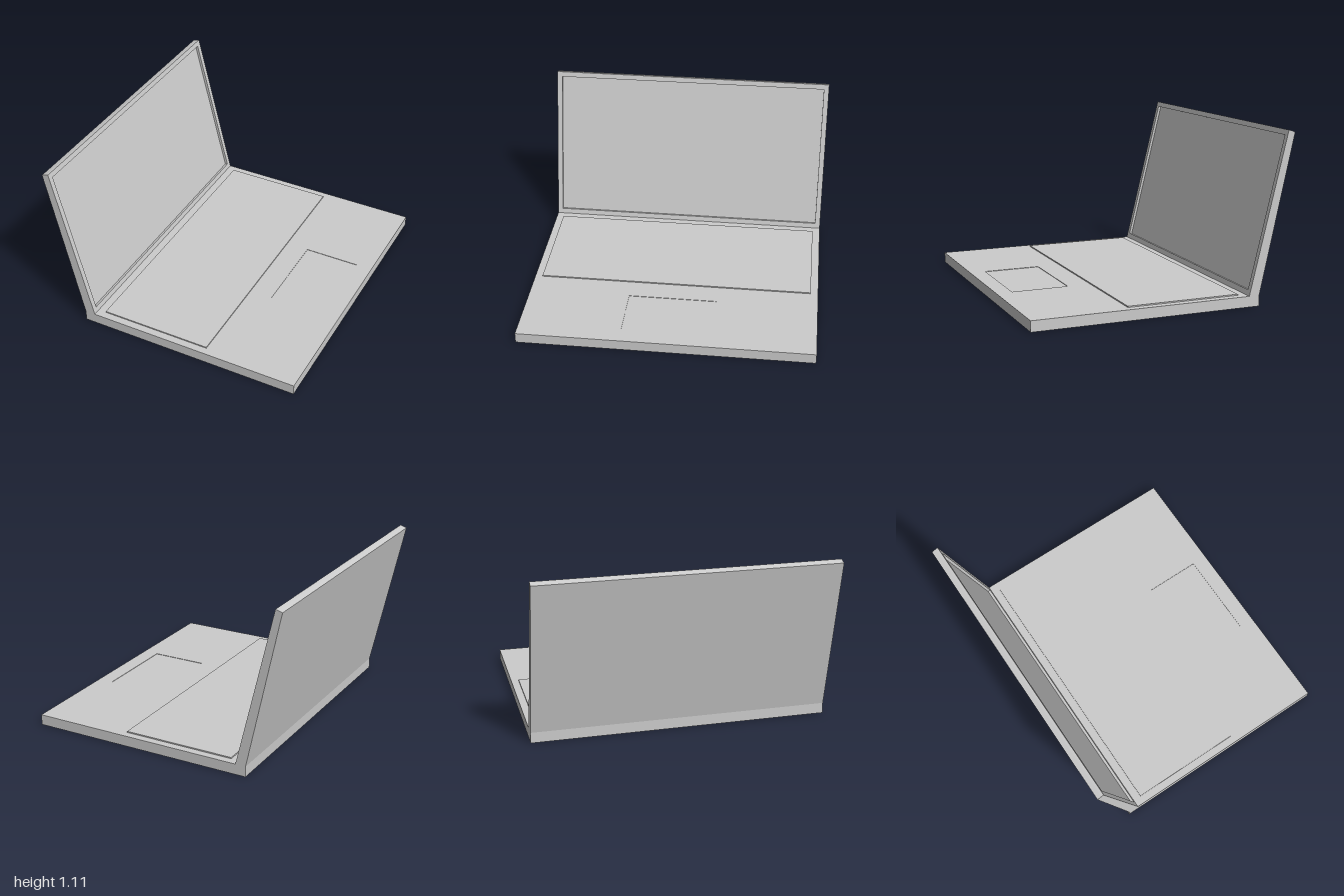
import * as THREE from 'three';

const WIDTH = 1.94, TOP = 0.07;
const BACK = -0.645, FRONT = 0.875;

function rectangle(Type, x0, x1, y0, y1) {
  const path = new Type();
  path.moveTo(x0, y0);
  path.lineTo(x1, y0);
  path.lineTo(x1, y1);
  path.lineTo(x0, y1);
  path.closePath();
  return path;
}

// Rectangular plate with one rectangular opening; each rect is [x0, x1, y0, y1]
function openPlate(outer, inner, depth) {
  const shape = rectangle(THREE.Shape, ...outer);
  shape.holes.push(rectangle(THREE.Path, ...inner));
  return new THREE.ExtrudeGeometry(shape, { depth, bevelEnabled: false });
}

function block(x0, x1, y0, y1, halfZ) {
  return new THREE.BoxGeometry(x1 - x0, y1 - y0, halfZ * 2)
    .translate((x0 + x1) / 2, (y0 + y1) / 2, 0);
}

export function createModel() {
  const laptop = new THREE.Group();
  laptop.name = 'laptop';
  const material = new THREE.MeshStandardMaterial({ color: 0xcccccc, flatShading: true });
  const add = (name, geometry) => {
    const mesh = new THREE.Mesh(geometry, material);
    mesh.name = name;
    laptop.add(mesh);
  };
  const half = WIDTH / 2;

  // Base with a shallow touchpad recess and a slightly raised keyboard
  const pad = [0.39, 0.77, -0.295, 0.295];
  add('base', openPlate([BACK, FRONT, -half, half], pad, TOP).rotateX(-Math.PI / 2));
  add('touchpad', block(pad[0], pad[1], 0, TOP - 0.003, pad[3]));
  add('keyboard', block(-0.52, 0.235, TOP - 0.01, TOP + 0.008, 0.92));

  // Lid: front face runs from the hinge line up to the top edge, leaning back
  const hinge = new THREE.Vector2(-0.575, TOP);
  const tip = new THREE.Vector2(-0.83, 1.11);
  const lean = Math.atan2(hinge.x - tip.x, tip.y - hinge.y);
  const length = hinge.distanceTo(tip);
  const recess = 0.018, margin = 0.035;
  const inward = new THREE.Vector2(-Math.cos(lean), -Math.sin(lean)).multiplyScalar(recess);

  // Tapered shell whose front is the sunken screen surface
  const profile = new THREE.Shape([
    new THREE.Vector2(BACK, TOP),
    hinge.clone().add(inward),
    tip.clone().add(inward),
    new THREE.Vector2(-0.875, 1.096),
  ]);
  add('screenShell', new THREE.ExtrudeGeometry(profile, { depth: WIDTH, bevelEnabled: false })
    .translate(0, 0, -half));

  // Bezel standing proud around the screen
  add('screenBezel', openPlate(
    [-half, half, 0, length],
    [-half + margin, half - margin, margin, length - margin],
    recess,
  ).rotateY(Math.PI / 2).rotateZ(lean).translate(hinge.x + inward.x, hinge.y + inward.y, 0));

  // The whole laptop sits slightly turned
  laptop.rotation.y = -0.0358;
  const model = new THREE.Group();
  model.add(laptop);
  return model;
}
